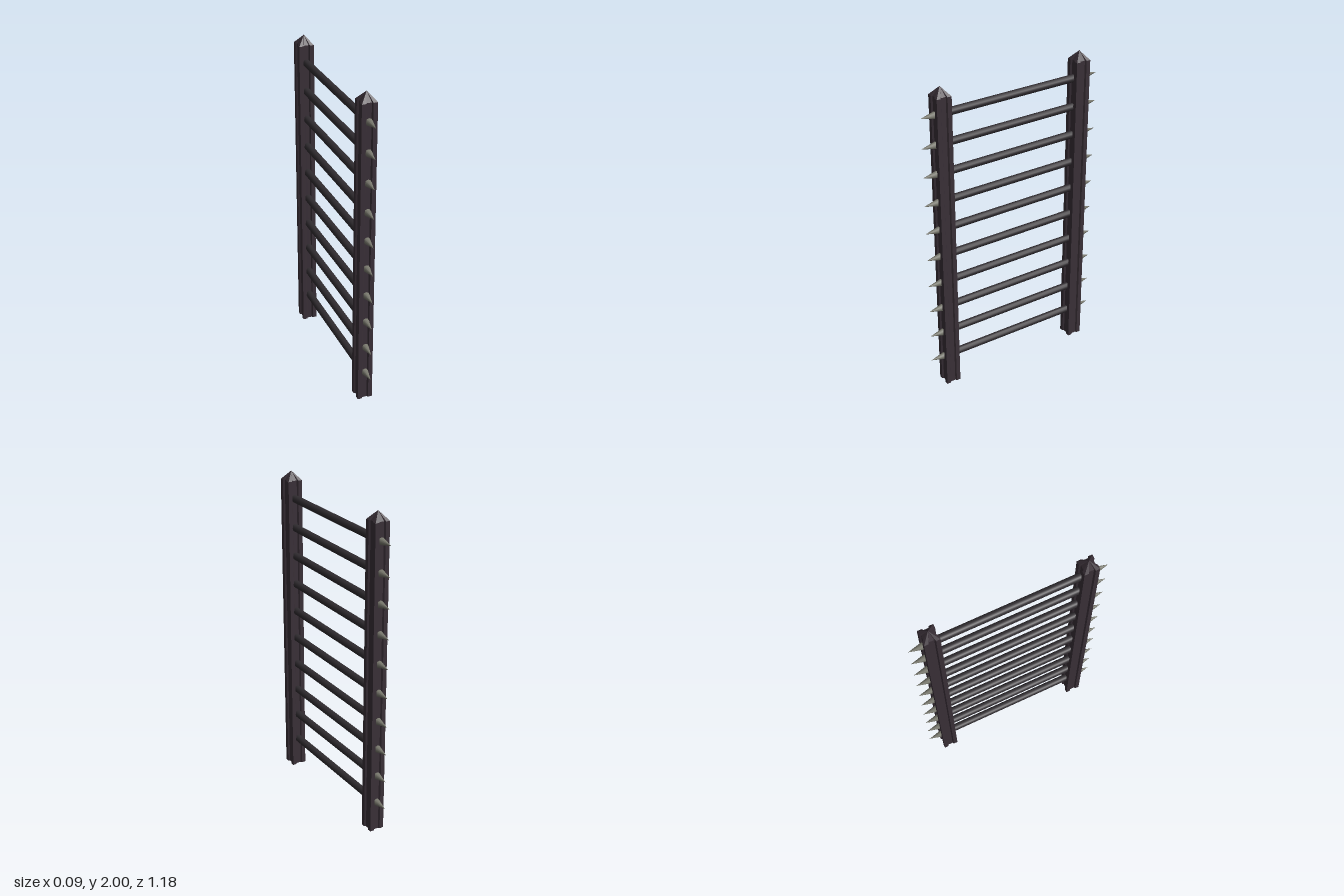
import * as THREE from 'three';

const RUNGS = 10, FIRST_Y = 0.19, STEP_Y = 0.1828;
const POST_Z = 0.4625, HALF = 0.0465, SHOULDER_Y = 1.945, TOP_Y = 2;

const material = (name, color) => {
  const m = new THREE.MeshStandardMaterial({ color });
  m.name = name;
  return m;
};

// Square outline with a shallow groove along the middle of each side
function postOutline() {
  const side = [[HALF, -HALF], [HALF, -0.021], [0.037, -0.015], [0.037, 0.015], [HALF, 0.021]];
  const points = [];
  for (let i = 0; i < 4; i++) {
    for (const [x, y] of side) {
      points.push(new THREE.Vector2(x, y).rotateAround(new THREE.Vector2(), i * Math.PI / 2));
    }
  }
  return points;
}

// Pointed cap: a fan from the outline up to the apex
function tipGeometry(outline) {
  const positions = [];
  outline.forEach((p, i) => {
    const q = outline[(i + 1) % outline.length];
    positions.push(p.x, p.y, SHOULDER_Y, q.x, q.y, SHOULDER_Y, 0, 0, TOP_Y);
  });
  const g = new THREE.BufferGeometry();
  g.setAttribute('position', new THREE.Float32BufferAttribute(positions, 3));
  g.computeVertexNormals();
  return g;
}

export function createModel() {
  const model = new THREE.Group();
  model.name = 'spikedLadder';
  const postMat = material('dark plum wood', 0x3a3038);
  const rungMat = material('dark grey rung', 0x302c30);
  const spikeMat = material('grey spike', 0x77776c);

  const add = (name, geometry, mat, x, y, z) => {
    const mesh = new THREE.Mesh(geometry, mat);
    mesh.name = name;
    mesh.position.set(x, y, z);
    model.add(mesh);
    return mesh;
  };

  // Posts with pointed tops
  const outline = postOutline();
  const shaft = new THREE.ExtrudeGeometry(new THREE.Shape(outline), { depth: SHOULDER_Y, bevelEnabled: false });
  shaft.rotateX(-Math.PI / 2);
  const tip = tipGeometry(outline).rotateX(-Math.PI / 2);

  // Rungs run along z, spikes point along +z
  const rung = new THREE.CylinderGeometry(0.023, 0.023, 0.86, 12).rotateX(Math.PI / 2);
  const spike = new THREE.ConeGeometry(0.023, 0.094, 10).rotateX(Math.PI / 2);

  for (const s of [1, -1]) {
    const end = s > 0 ? 'front' : 'back';
    add(end + 'Post', shaft, postMat, 0, 0, s * POST_Z);
    add(end + 'PostTip', tip, postMat, 0, 0, s * POST_Z);
    for (let i = 0; i < RUNGS; i++) {
      const m = add(end + 'Spike' + (i + 1), spike, spikeMat, 0, FIRST_Y + i * STEP_Y, s * 0.543);
      if (s < 0) m.rotation.y = Math.PI;
    }
  }
  for (let i = 0; i < RUNGS; i++) add('rung' + (i + 1), rung, rungMat, 0, FIRST_Y + i * STEP_Y, 0);

  return model;
}
